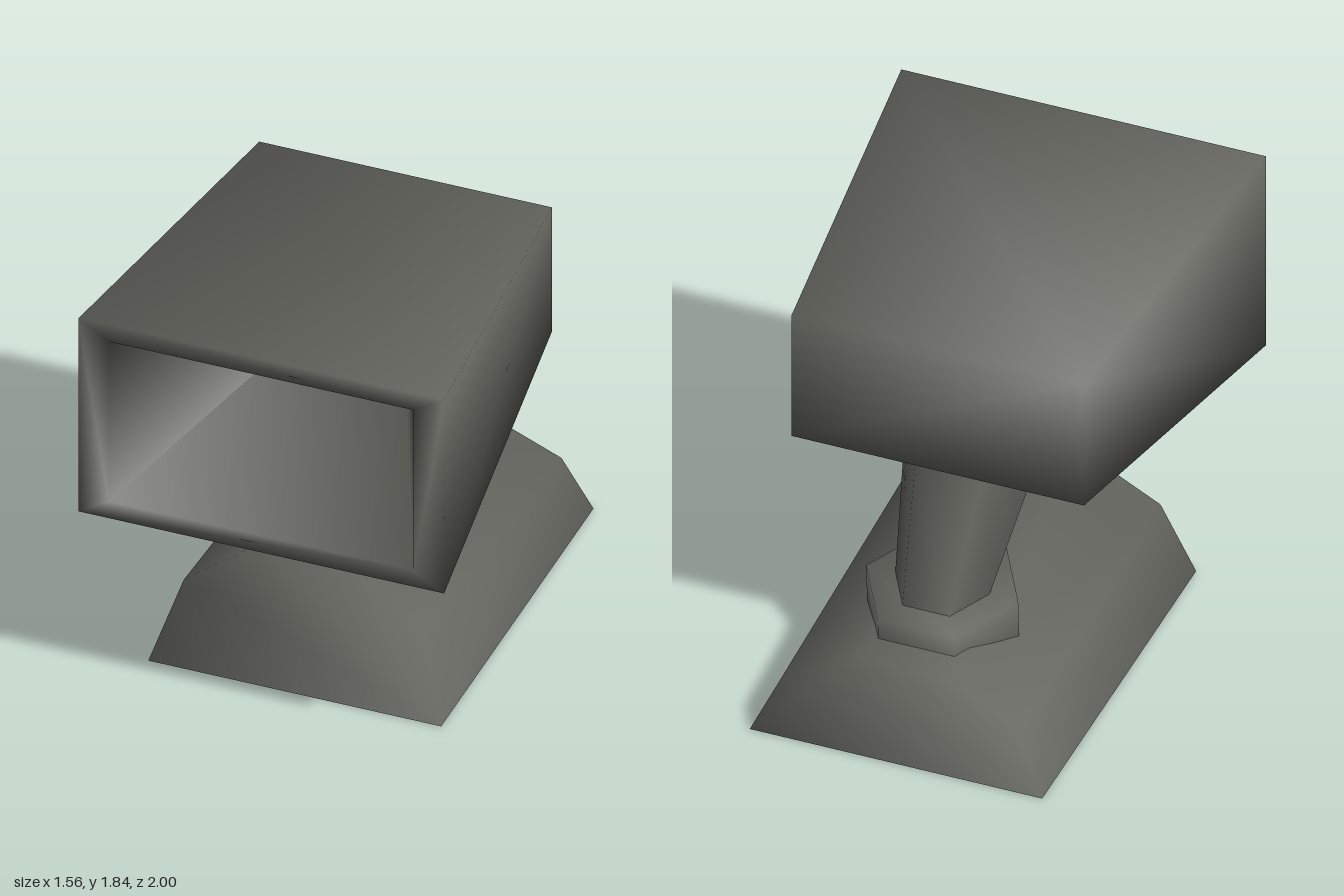
import * as THREE from 'three';

// Skin a list of equal-length rings (counter-clockwise seen from the first ring's end).
// Quads are split as mirror images, and normals are averaged over both splits so shading is even.
function loft(rings, { closed = true, startCap = false, endCap = false } = {}) {
  const n = rings[0].length;
  const faces = [], otherSplit = [];
  const spans = closed ? n : n - 1;
  for (let i = 0; i < rings.length - 1; i++) {
    for (let j = 0; j < spans; j++) {
      const k = (j + 1) % n;
      const a = i * n + j, b = i * n + k, c = a + n, d = b + n;
      const rising = [a, c, d, a, d, b];
      const falling = [a, c, b, b, c, d];
      const firstHalf = j < spans / 2;
      faces.push(...(firstHalf ? rising : falling));
      otherSplit.push(...(firstHalf ? falling : rising));
    }
  }
  const last = (rings.length - 1) * n;
  for (let j = 1; j < n - 1; j++) {
    if (startCap) {
      faces.push(0, j, j + 1);
      otherSplit.push(n - 1, j - 1, j);
    }
    if (endCap) {
      faces.push(last, last + j + 1, last + j);
      otherSplit.push(last + n - 1, last + j, last + j - 1);
    }
  }
  const geometry = new THREE.BufferGeometry();
  geometry.setAttribute('position', new THREE.Float32BufferAttribute(rings.flat(2), 3));
  geometry.setIndex([...faces, ...otherSplit]);
  geometry.computeVertexNormals();
  geometry.setIndex(faces);
  return geometry;
}

// Rectangle facing the front
const rectangle = (halfWidth, bottom, top, z) => [
  [halfWidth, bottom, z], [halfWidth, top, z], [-halfWidth, top, z], [-halfWidth, bottom, z],
];

// Hexagon seen from above with corners on the x axis, lying on a tilted plane
function hexagon(radius, y, z, slope) {
  return Array.from({ length: 6 }, (_, i) => {
    const angle = (i * Math.PI) / 3;
    const dz = -Math.sin(angle) * radius;
    return [Math.cos(angle) * radius, y + dz * slope, z + dz];
  });
}

// Mirrored arch: (x, y, z) points of the +x half, from the ground upward
const arch = (half) => [...half, ...half.map(([x, y, z]) => [-x, y, z]).reverse()];

export function createModel() {
  const model = new THREE.Group();
  const darkGrey = new THREE.MeshStandardMaterial({ color: 0x62625c, side: THREE.DoubleSide });
  darkGrey.name = 'darkGrey';

  const add = (name, geometry) => {
    const mesh = new THREE.Mesh(geometry, darkGrey);
    mesh.name = name;
    model.add(mesh);
  };

  // Hollow sloping foot, open underneath
  add('base', loft([
    arch([[0.625, 0, 0.64], [0.51, 0.36, 0.547], [0.2, 0.58, 0.49]]),
    arch([[0.625, 0, -1], [0.51, 0.25, -0.945], [0.2, 0.41, -0.91]]),
  ], { closed: false, startCap: true, endCap: true }));

  // Six-sided collar sunk into the foot, open underneath
  add('collar', loft([
    hexagon(0.325, 0.553, -0.508, 0.107),
    hexagon(0.325, 0.375, -0.498, 0.107),
  ], { startCap: true }));

  // Leaning arm that widens towards the horn
  add('arm', loft([
    hexagon(0.297, 1.09, -0.15, -0.148),
    hexagon(0.2, 0.545, -0.51, 0.107),
  ]));

  // Horn: pyramid-shaped hollow, flat rim, outer walls and closed back
  const apex = Array.from({ length: 4 }, () => [0, 1.43, -0.5]);
  add('horn', loft([
    apex,
    rectangle(0.65, 0.99, 1.76, 1),
    rectangle(0.78, 0.91, 1.84, 1),
    rectangle(0.625, 1.14, 1.735, -0.555),
  ], { endCap: true }));

  return model;
}
